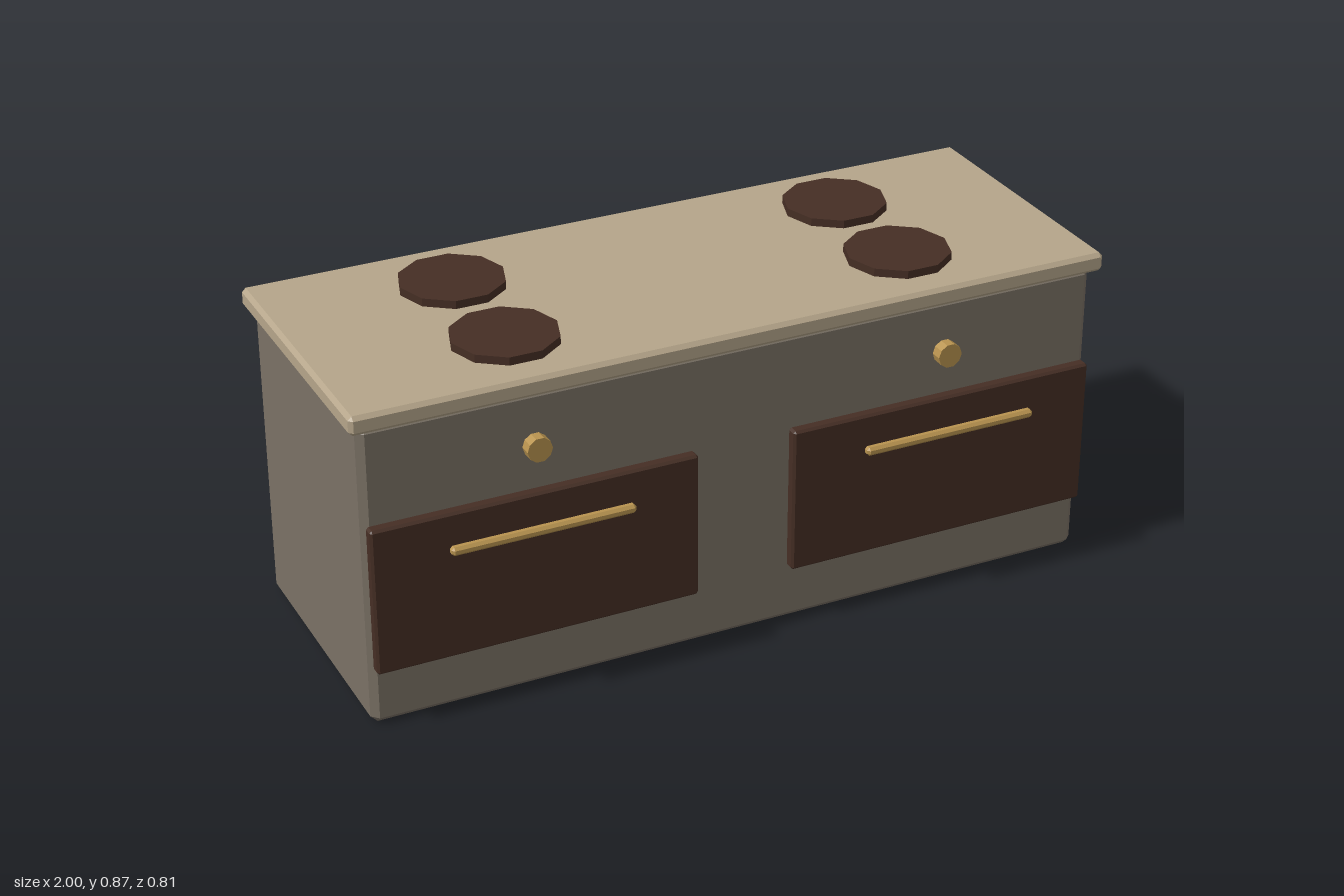
import * as THREE from 'three';
import { ConvexGeometry } from 'three/addons/geometries/ConvexGeometry.js';

const material = (name, color) => {
  const m = new THREE.MeshStandardMaterial({ color, flatShading: true });
  m.name = name;
  return m;
};

// Box with every edge cut at 45 degrees, given by its min and max corners
function bevelBox([x0, y0, z0], [x1, y1, z1], bevel) {
  const half = [(x1 - x0) / 2, (y1 - y0) / 2, (z1 - z0) / 2];
  const points = [];
  for (const sx of [-1, 1]) for (const sy of [-1, 1]) for (const sz of [-1, 1]) {
    for (let outer = 0; outer < 3; outer++) {
      const [x, y, z] = half.map((h, axis) => (axis === outer ? h : h - bevel));
      points.push(new THREE.Vector3(sx * x, sy * y, sz * z));
    }
  }
  return new ConvexGeometry(points).translate((x0 + x1) / 2, (y0 + y1) / 2, (z0 + z1) / 2);
}

// Ten-sided disc with corners on the x axis
const disc = (radius, height) =>
  new THREE.CylinderGeometry(radius, radius, height, 10).rotateY(Math.PI / 2);

export function createModel() {
  const group = new THREE.Group();
  group.name = 'stove';
  const stone = material('warm grey', 0x7a7165);
  const tan = material('tan', 0xb5a58a);
  const dark = material('dark brown', 0x452e24);
  const brass = material('brass', 0xb8934f);

  const add = (name, geometry, mat, x = 0, y = 0, z = 0) => {
    const mesh = new THREE.Mesh(geometry, mat);
    mesh.name = name;
    mesh.position.set(x, y, z);
    group.add(mesh);
  };

  // Cabinet and worktop
  add('body', bevelBox([-0.977, 0, -0.379], [0.974, 0.803, 0.332], 0.018), stone);
  add('worktop', bevelBox([-1, 0.795, -0.402], [0.997, 0.845, 0.352], 0.01), tan);

  const doorGeometry = bevelBox([-0.419, 0.158, 0.33], [0.419, 0.548, 0.363], 0.006);
  const handleGeometry = bevelBox([-0.236, 0.456, 0.382], [0.236, 0.479, 0.406], 0.007);
  const knobGeometry = disc(0.032, 0.031).rotateX(Math.PI / 2);
  const burnerGeometry = disc(0.135, 0.03);

  // Matching oven fronts and hobs on each side
  for (const [side, x] of [['right', -0.55], ['left', 0.545]]) {
    add(side + 'Door', doorGeometry, dark, x);
    add(side + 'Handle', handleGeometry, brass, x);
    add(side + 'Knob', knobGeometry, brass, x, 0.672, 0.3665);
    const burnerX = x < 0 ? -0.532 : 0.525;
    add(side + 'FrontBurner', burnerGeometry, dark, burnerX, 0.851, 0.14);
    add(side + 'BackBurner', burnerGeometry, dark, burnerX, 0.851, -0.188);
  }
  return group;
}
